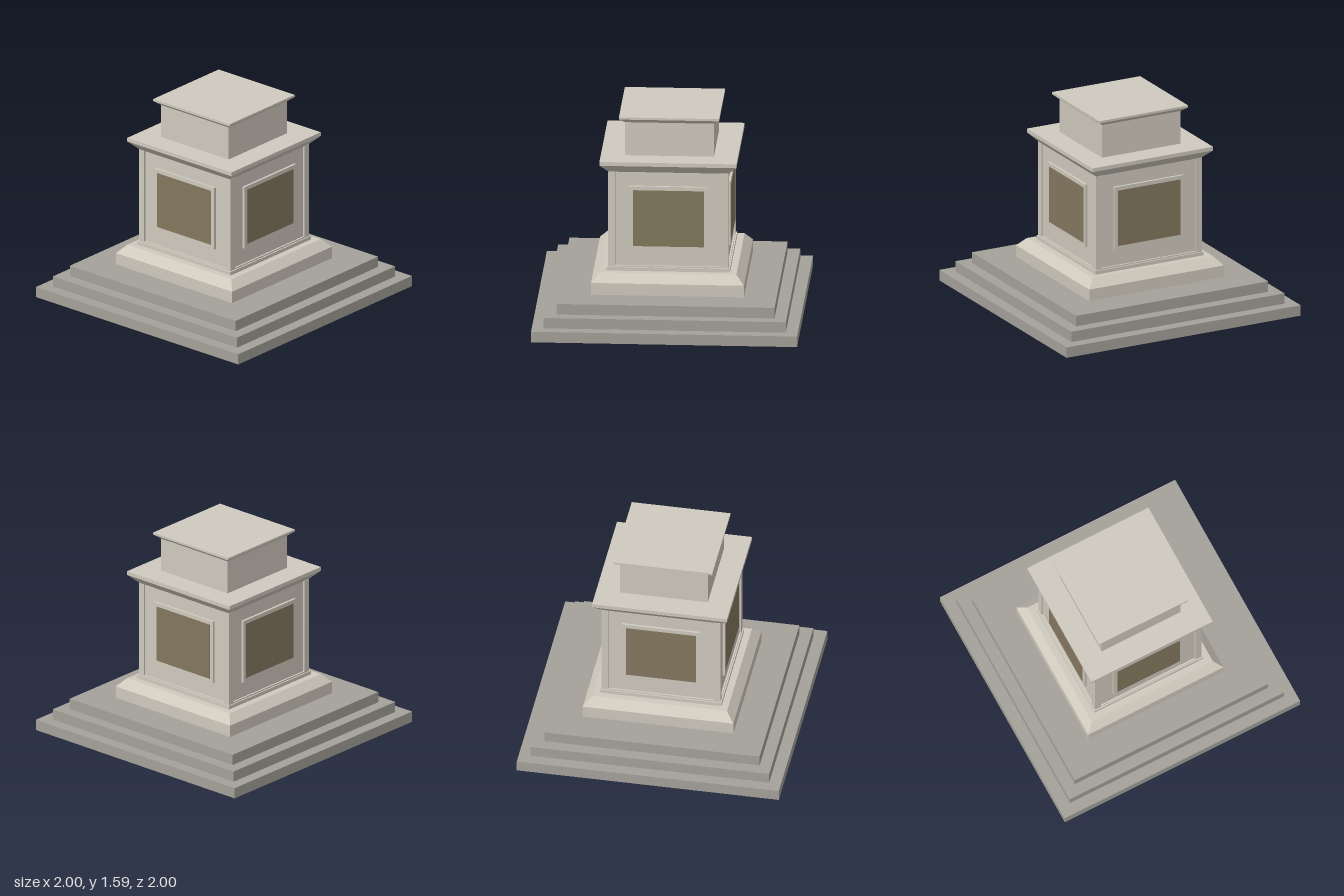
import * as THREE from 'three';

const paleStone = new THREE.MeshStandardMaterial({ name: 'pale stone', color: 0xd0cabe });
const greyStone = new THREE.MeshStandardMaterial({ name: 'grey stone', color: 0xa5a19a });
const bronze = new THREE.MeshStandardMaterial({ name: 'bronze', color: 0x84785e });

// Square block from y0 to y1, with half-widths at the bottom and top
function tier(name, y0, y1, bottom, top, material) {
  const geo = new THREE.CylinderGeometry(top * Math.SQRT2, bottom * Math.SQRT2, y1 - y0, 4)
    .rotateY(Math.PI / 4)
    .toNonIndexed();
  geo.computeVertexNormals();
  const mesh = new THREE.Mesh(geo, material);
  mesh.name = name;
  mesh.position.y = (y0 + y1) / 2;
  return mesh;
}

function box(name, w, h, d, x, y, z, material) {
  const mesh = new THREE.Mesh(new THREE.BoxGeometry(w, h, d), material);
  mesh.name = name;
  mesh.position.set(x, y, z);
  return mesh;
}

export function createModel() {
  const model = new THREE.Group();
  model.name = 'pedestal';

  // Stacked tiers: name, bottom y, top y, half-widths, material
  const tiers = [
    ['lowerStep', 0, 0.083, 1, 1, greyStone],
    ['middleStep', 0.083, 0.165, 0.91, 0.91, greyStone],
    ['upperStep', 0.165, 0.248, 0.82, 0.82, greyStone],
    ['plinth', 0.248, 0.34, 0.575, 0.575, paleStone],
    ['plinthChamfer', 0.34, 0.405, 0.575, 0.515, paleStone],
    ['baseFillet', 0.405, 0.433, 0.463, 0.463, paleStone],
    ['baseBand', 0.433, 0.444, 0.453, 0.453, paleStone],
    ['body', 0.444, 1.18, 0.44, 0.44, paleStone],
    ['corniceFlare', 1.18, 1.245, 0.45, 0.515, paleStone],
    ['corniceSlab', 1.245, 1.275, 0.515, 0.515, paleStone],
    ['attic', 1.275, 1.535, 0.335, 0.335, paleStone],
    ['capFlare', 1.535, 1.568, 0.335, 0.377, paleStone],
    ['capSlab', 1.568, 1.585, 0.377, 0.377, paleStone],
  ];
  for (const t of tiers) model.add(tier(...t));

  // Corner pilasters, standing slightly proud of the body
  for (const x of [-1, 1]) {
    for (const z of [-1, 1]) {
      model.add(box('cornerPilaster', 0.053, 0.736, 0.053, x * 0.4265, 0.812, z * 0.4265, paleStone));
    }
  }

  // Framed bronze plaque on each of the four sides
  for (let i = 0; i < 4; i++) {
    const side = new THREE.Group();
    side.name = 'framedPlaque';
    side.add(box('plaqueFrame', 0.594, 0.5, 0.028, 0, 0.82, 0.445, paleStone));
    side.add(box('plaque', 0.534, 0.44, 0.004, 0, 0.82, 0.4585, bronze));
    side.rotation.y = i * Math.PI / 2;
    model.add(side);
  }

  return model;
}
